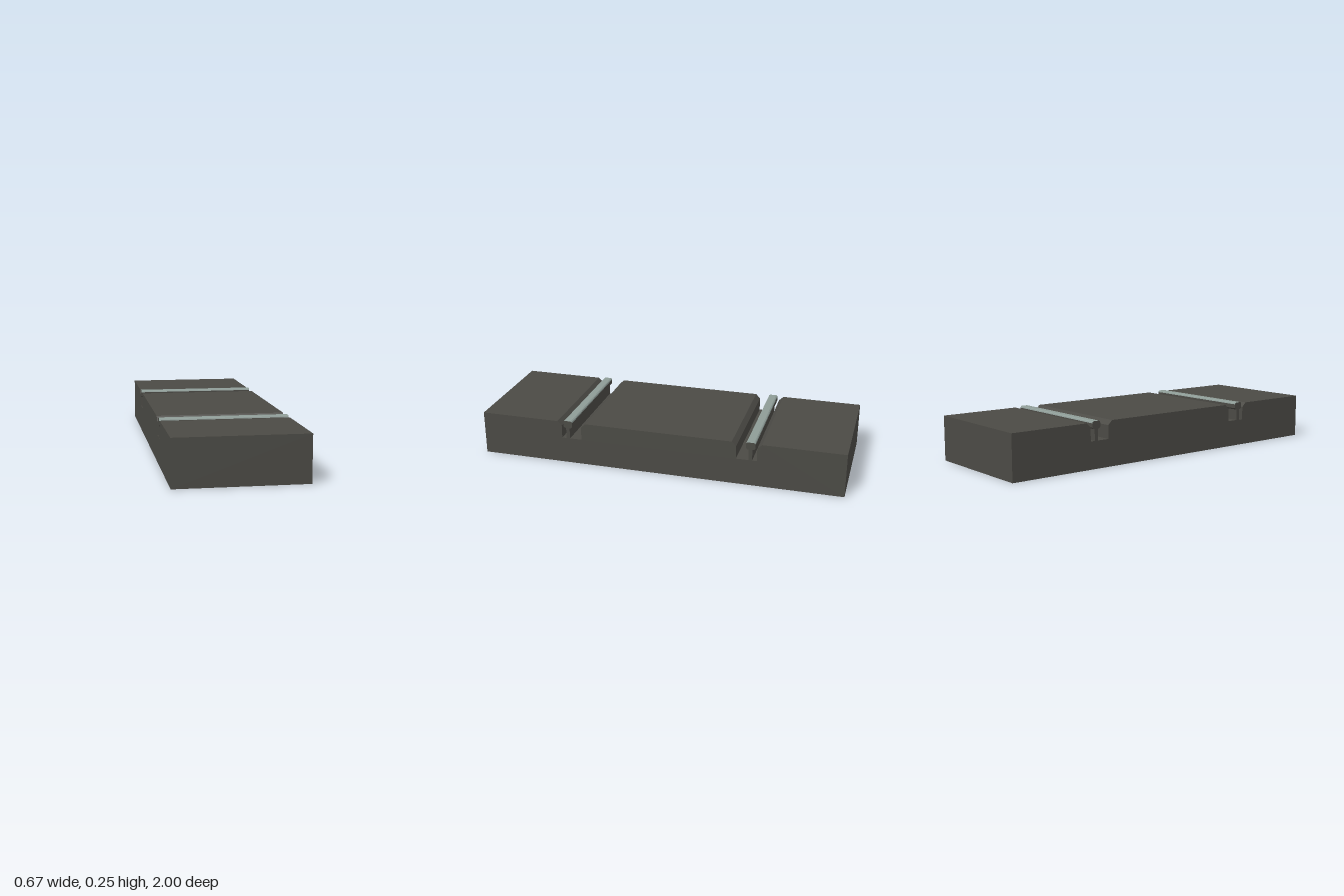
import * as THREE from 'three';

const WIDTH = 0.666;

const concrete = new THREE.MeshStandardMaterial({ color: 0x4b4a45 });
concrete.name = 'dark concrete';
const steel = new THREE.MeshStandardMaterial({ color: 0x8e9c97 });
steel.name = 'polished steel';

// Extrudes a [z, y] profile across the full width of the model
function extrudeAcross(name, points, material) {
  const shape = new THREE.Shape(points.map(([z, y]) => new THREE.Vector2(z, y)));
  const geometry = new THREE.ExtrudeGeometry(shape, { depth: WIDTH, bevelEnabled: false });
  geometry.rotateY(-Math.PI / 2);
  geometry.translate(WIDTH / 2, 0, 0);
  const mesh = new THREE.Mesh(geometry, material);
  mesh.name = name;
  return mesh;
}

// Turns half a profile into a closed one by mirroring it about z = 0
const mirrored = (half) => [...half, ...half.map(([z, y]) => [-z, y]).reverse()];

export function createModel() {
  const model = new THREE.Group();
  model.name = 'trackSlab';

  // Slab with two chamfered rail grooves
  model.add(extrudeAcross('slab', mirrored([
    [1, 0], [1, 0.24],
    [0.563, 0.24], [0.539, 0.216], [0.539, 0.145],
    [0.428, 0.145], [0.428, 0.216], [0.404, 0.24],
  ]), concrete));

  for (const side of [1, -1]) {
    const rail = new THREE.Group();
    rail.name = side > 0 ? 'frontRail' : 'backRail';
    rail.position.z = side * 0.504;

    // Narrow web and dull head
    rail.add(extrudeAcross('railBody', mirrored([
      [0.01, 0.145], [0.01, 0.205], [0.017, 0.206], [0.025, 0.214], [0.025, 0.236],
    ]), concrete));

    // Bright running surface with dull end faces
    rail.add(extrudeAcross('runningSurface', mirrored([
      [0.025, 0.236], [0.023, 0.242], [0.017, 0.246],
    ]), [concrete, steel]));

    model.add(rail);
  }
  return model;
}
